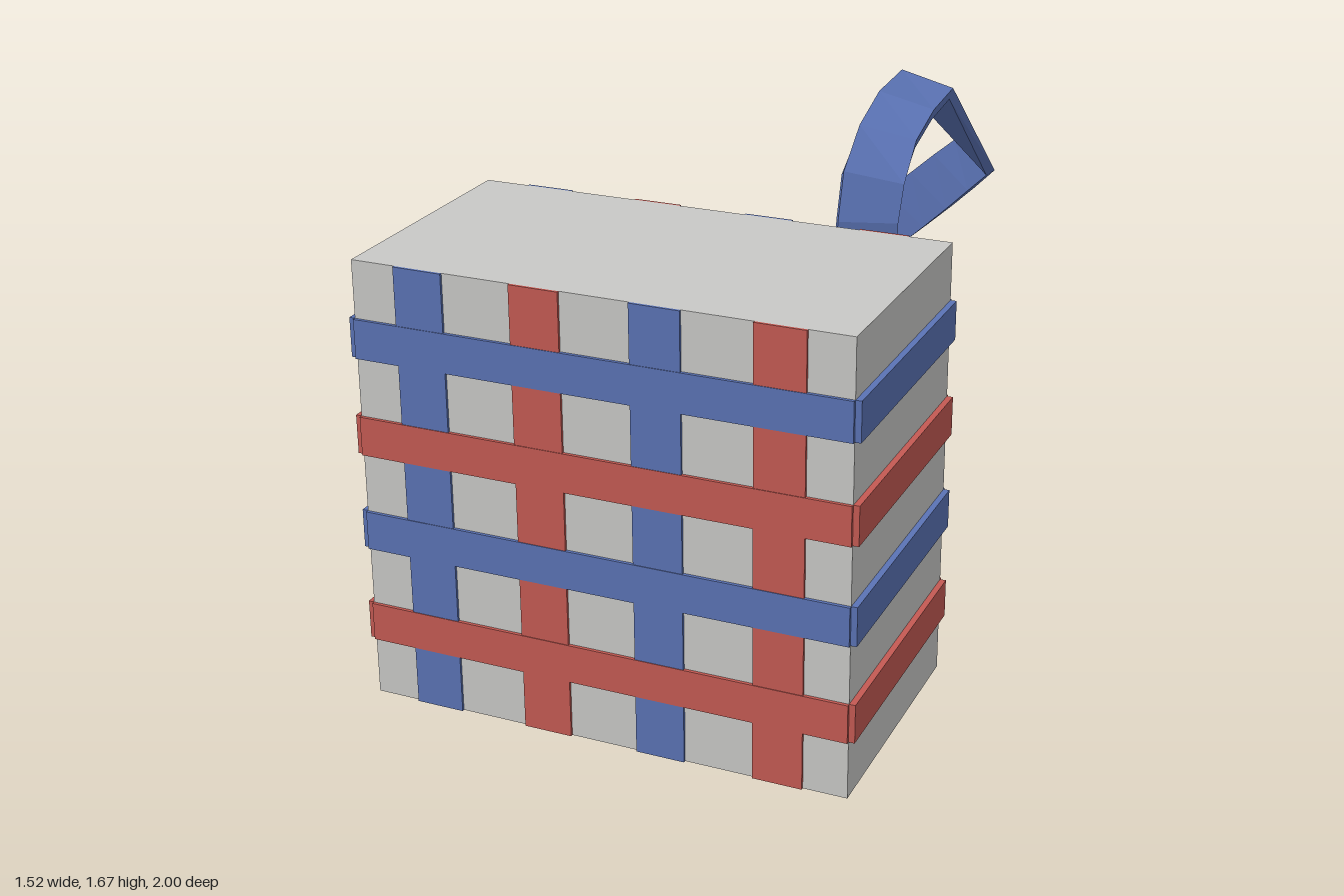
import * as THREE from 'three';

const material = (name, color) => {
  const m = new THREE.MeshStandardMaterial({ color, flatShading: true });
  m.name = name;
  return m;
};

function box(parent, name, mat, size, pos) {
  const mesh = new THREE.Mesh(new THREE.BoxGeometry(...size), mat);
  mesh.name = name;
  mesh.position.set(...pos);
  parent.add(mesh);
}

// Flat ribbon with thickness, swept through pairs of outer edge points [p, q]
function ribbonGeometry(pairs, thickness) {
  const mid = pairs.map(([p, q]) => p.clone().add(q).multiplyScalar(0.5));
  const last = pairs.length - 1;
  const rings = pairs.map(([p, q], i) => {
    const dir = (a, b) => mid[b].clone().sub(mid[a]).normalize();
    const tangent = new THREE.Vector3();
    if (i > 0) tangent.add(dir(i - 1, i));
    if (i < last) tangent.add(dir(i, i + 1));
    const inward = tangent.cross(p.clone().sub(q)).normalize().multiplyScalar(thickness);
    return [p, q, q.clone().add(inward), p.clone().add(inward)];
  });
  const pos = [];
  const quad = (a, b, c, d) => [a, b, c, a, c, d].forEach((v) => pos.push(v.x, v.y, v.z));
  for (let i = 0; i < last; i++) {
    for (let j = 0; j < 4; j++) {
      const k = (j + 1) % 4;
      quad(rings[i][j], rings[i + 1][j], rings[i + 1][k], rings[i][k]);
    }
  }
  quad(...rings[0]);
  quad(...rings[last].slice().reverse());
  const geo = new THREE.BufferGeometry();
  geo.setAttribute('position', new THREE.Float32BufferAttribute(pos, 3));
  geo.computeVertexNormals();
  return geo;
}

function strapPairs() {
  const V = (x, y, z) => new THREE.Vector3(x, y, z);
  const onArc = (t, y) => V(0.06 - 0.82 * Math.cos(t), y, -0.38 - 0.62 * Math.sin(t));
  const lerp = THREE.MathUtils.lerp;
  const pairs = [];
  // level run round the side
  for (let i = 0; i < 12; i++) {
    const u = i / 12;
    pairs.push([onArc(lerp(-0.83, 0.45, u), 0.235), onArc(lerp(-0.83, 0.58, u), 0.065)]);
  }
  // diagonal climb across the back
  for (let i = 0; i <= 14; i++) {
    const u = i / 14;
    pairs.push([
      onArc(lerp(0.45, 2.004, u), lerp(0.235, 1.32, u)),
      onArc(lerp(0.58, 2.188, u), lerp(0.065, 1.23, u)),
    ]);
  }
  // over the top and down to the box
  const hook = [
    [0.375, 1.675, -0.385, 0.545, 1.64, -0.365],
    [0.375, 1.66, -0.18, 0.545, 1.62, -0.185],
    [0.38, 1.605, 0.0, 0.545, 1.57, -0.03],
    [0.385, 1.505, 0.14, 0.545, 1.465, 0.07],
    [0.39, 1.37, 0.195, 0.545, 1.36, 0.115],
    [0.39, 1.27, 0.2, 0.545, 1.27, 0.12],
  ];
  hook.forEach((h) => pairs.push([V(h[0], h[1], h[2]), V(h[3], h[4], h[5])]));
  return pairs;
}

export function createModel() {
  const model = new THREE.Group();
  model.name = 'strappedBox';
  const grey = material('light grey', 0xc9c9c7);
  const blue = material('blue', 0x5b73b5);
  const red = material('red', 0xc45a53);

  // Body
  const cz = 0.6;
  box(model, 'body', grey, [1.48, 1.36, 0.78], [0, 0.68, cz]);

  // Upright stripes, front and back
  [-0.53, -0.175, 0.18, 0.535].forEach((x, i) => {
    for (const s of [-1, 1]) {
      box(model, 'uprightStripe', i % 2 ? red : blue, [0.148, 1.36, 0.008], [x, 0.68, cz + s * 0.394]);
    }
  });

  // Level bands on all four sides
  [0.238, 0.535, 0.832, 1.128].forEach((y, i) => {
    const mat = i % 2 ? blue : red;
    for (const s of [-1, 1]) {
      box(model, 'bandFace', mat, [1.48, 0.118, 0.01], [0, y, cz + s * 0.395]);
      box(model, 'bandSide', mat, [0.018, 0.118, 0.78], [s * 0.749, y, cz]);
    }
  });

  // Carrying strap
  const strap = new THREE.Mesh(ribbonGeometry(strapPairs(), 0.035), blue);
  strap.name = 'strap';
  model.add(strap);

  return model;
}
